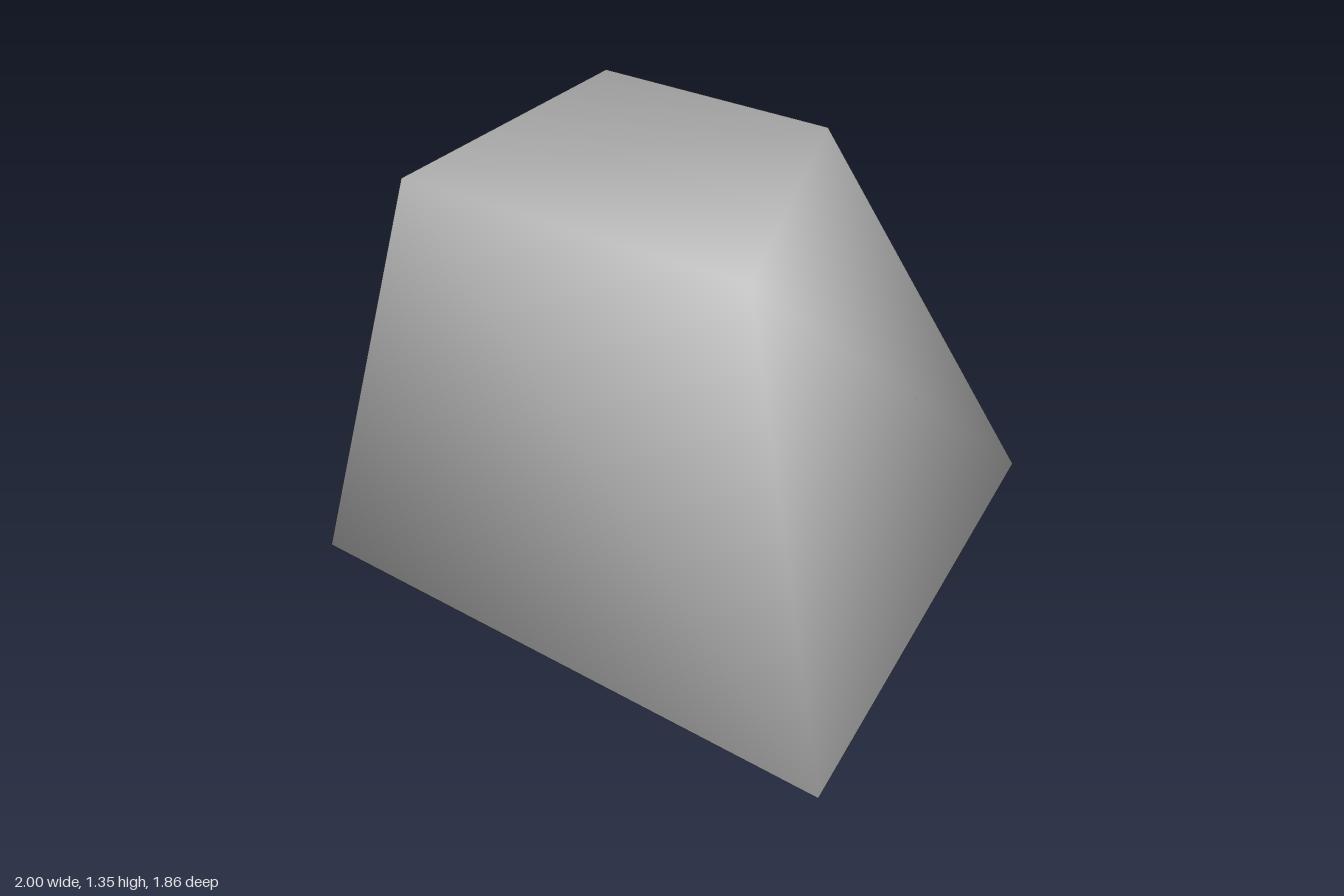
import * as THREE from 'three';

// Skewed, tapered block with one raised base corner and smooth shared normals
function skewedBlock(base, top) {
  const geometry = new THREE.BufferGeometry();
  geometry.setAttribute('position', new THREE.Float32BufferAttribute([...base, ...top].flat(), 3));
  const faces = [
    [0, 1, 4], [1, 5, 4], // front
    [1, 2, 5], [2, 6, 5], // right side
    [2, 3, 6], [3, 7, 6], // back
    [3, 0, 4], [3, 4, 7], // left side
    [4, 5, 6], [4, 6, 7], // top
    [0, 2, 1], [0, 3, 2], // underside, folded towards the raised corner
  ];
  geometry.setIndex(faces.flat());
  geometry.computeVertexNormals();
  return geometry;
}

export function createModel() {
  const model = new THREE.Group();
  model.name = 'rock';

  const stone = new THREE.MeshStandardMaterial({ color: 0xcccccc });
  stone.name = 'light grey stone';

  // Corner loops, counter-clockwise from above, starting at front -x
  const base = [[-0.82, 0, 0.67], [1, 0, 0.93], [0.77, 0, -0.8], [-1, 0.2, -0.93]];
  const top = [[-0.47, 1.35, 0.67], [0.635, 1.35, 0.69], [0.38, 1.35, -0.2], [-0.36, 1.35, -0.2]];

  const block = new THREE.Mesh(skewedBlock(base, top), stone);
  block.name = 'rockBlock';
  model.add(block);
  return model;
}
